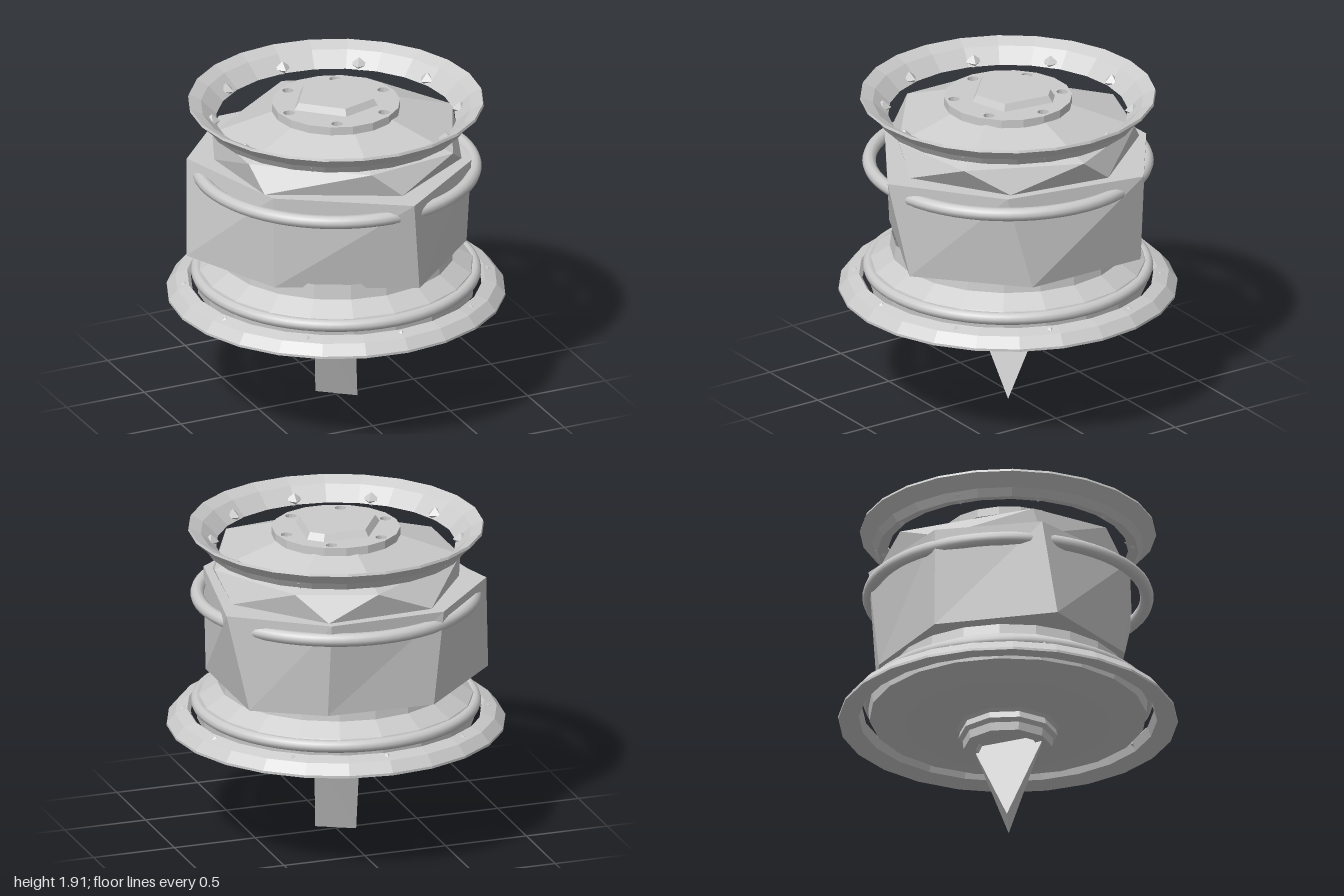
import * as THREE from 'three';
import { ConvexGeometry } from 'three/addons/geometries/ConvexGeometry.js';

export function createModel() {
  const model = new THREE.Group();
  const flat = new THREE.MeshStandardMaterial({ color: 0xcccccc, flatShading: true, side: THREE.DoubleSide });
  const smooth = new THREE.MeshStandardMaterial({ color: 0xcccccc });

  function add(name, geometry, material = flat, y = 0) {
    const mesh = new THREE.Mesh(geometry, material);
    mesh.name = name;
    mesh.position.y = y;
    model.add(mesh);
    return mesh;
  }

  // Skin through levels of equal corner count; corners are [x, z], ends closed by fans
  function loft(levels) {
    const n = levels[0].pts.length, pos = [], idx = [];
    for (const { y, pts } of levels) for (const [x, z] of pts) pos.push(x, y, z);
    for (let l = 0; l < levels.length - 1; l++)
      for (let i = 0; i < n; i++) {
        const a = l * n + i, b = l * n + (i + 1) % n;
        idx.push(a, b, b + n, a, b + n, a + n);
      }
    const top = (levels.length - 1) * n;
    for (let i = 1; i < n - 1; i++) idx.push(0, i + 1, i, top, top + i, top + i + 1);
    const g = new THREE.BufferGeometry();
    g.setAttribute('position', new THREE.Float32BufferAttribute(pos, 3));
    g.setIndex(idx);
    const out = g.toNonIndexed();
    out.computeVertexNormals();
    return out;
  }

  const lathe = (profile, sides) =>
    new THREE.LatheGeometry(profile.map(([r, y]) => new THREE.Vector2(r, y)), sides);
  const scaled = (pts, s) => pts.map(([x, z]) => [x * s, z * s]);

  // Faceted drum with slightly skewed walls
  const drumTop = [[0.08, 0.9], [0.66, 0.45], [0.82, -0.4], [0.3, -0.77], [-0.4, -0.75], [-0.83, -0.28], [-0.62, 0.45]];
  const drumBase = [[0.16, 0.8], [0.7, 0.3], [0.7, -0.46], [0.3, -0.7], [-0.35, -0.72], [-0.87, -0.2], [-0.6, 0.43]];
  add('drum', loft([{ y: 0.97, pts: drumBase }, { y: 1.55, pts: drumTop }]));

  // Shoulder and sloping roof above the drum
  const neck = [[0.08, 0.74], [0.62, 0.4], [0.72, -0.22], [0.3, -0.72], [-0.35, -0.68], [-0.69, -0.2], [-0.64, 0.38]];
  const shoulder = [[-0.1, 0.7], [0.46, 0.62], [0.76, -0.02], [0.46, -0.58], [0, -0.74], [-0.68, -0.25], [-0.68, 0.25]];
  add('shoulder', loft([
    { y: 1.55, pts: neck },
    { y: 1.7, pts: shoulder },
    { y: 1.83, pts: scaled(shoulder, 0.48) },
  ]));

  // Hub flange with six bolt holes
  const disc = new THREE.Shape();
  for (let i = 0; i < 18; i++) {
    const a = i / 18 * Math.PI * 2, p = [0.375 * Math.cos(a), 0.375 * Math.sin(a)];
    i ? disc.lineTo(...p) : disc.moveTo(...p);
  }
  disc.closePath();
  for (let i = 0; i < 6; i++) {
    const a = i * Math.PI / 3 + 0.1;
    const hole = new THREE.Path();
    hole.absarc(0.32 * Math.cos(a), 0.32 * Math.sin(a), 0.033, 0, Math.PI * 2, true);
    disc.holes.push(hole);
  }
  const flange = new THREE.ExtrudeGeometry(disc, { depth: 0.05, bevelEnabled: false, curveSegments: 6 });
  flange.rotateX(-Math.PI / 2);
  add('hubFlange', flange, flat, 1.82);

  // Irregular raised cap on the hub
  const cap = [[-0.04, 0.23], [0.2, 0.16], [0.24, -0.16], [0.16, -0.23], [-0.12, -0.24], [-0.28, 0.01]];
  add('hubCap', loft([{ y: 1.86, pts: cap }, { y: 1.91, pts: scaled(cap, 0.88) }]));

  // Rounded bands around the body
  for (const [name, y, tube] of [['upperBand', 1.46, 0.04], ['lowerBand', 0.8, 0.037]]) {
    const band = new THREE.TorusGeometry(0.81, tube, 10, 64);
    band.rotateX(Math.PI / 2);
    add(name, band, smooth, y);
  }

  // Flared skirt and shallow conical underside
  add('skirt', lathe([[0, 0.6], [0.3, 0.615], [0.6, 0.64], [0.81, 0.69], [0.82, 0.8], [0.8, 0.84], [0.69, 0.91], [0.68, 1.0]], 20));

  // Flared hoops: the upper opens upward, the lower opens downward
  const hoop = [[0.7, 1.765], [0.76, 1.755], [0.79, 1.8], [0.865, 1.87], [0.86, 1.885], [0.79, 1.85], [0.7, 1.765]];
  add('upperHoop', lathe(hoop, 24));
  const lowerHoop = [[0.87, 0.68], [0.99, 0.665], [0.99, 0.68], [0.94, 0.74], [0.87, 0.765], [0.85, 0.74], [0.87, 0.68]];
  add('lowerHoop', lathe(lowerHoop, 24));

  // Ten small faceted clips on each hoop
  const clip = new THREE.OctahedronGeometry(0.055);
  for (const [name, radius, y] of [['upperClip', 0.73, 1.785], ['lowerClip', 0.89, 0.725]])
    for (let i = 0; i < 10; i++) {
      const a = i * Math.PI / 5;
      const mesh = add(name, clip, flat, y);
      mesh.position.x = radius * Math.sin(a);
      mesh.position.z = radius * Math.cos(a);
      mesh.rotation.y = a;
      mesh.scale.set(1, 0.8, 0.9);
    }

  // Stepped collar with a recessed bottom
  add('collar', lathe([[0, 0.53], [0.17, 0.53], [0.19, 0.485], [0.26, 0.49], [0.265, 0.54], [0.29, 0.56], [0.28, 0.6], [0.34, 0.64]], 10));

  // Twisted spike: the top and bottom edges cross each other
  const corners = [[-0.2, 0.53, 0.13], [0.18, 0.53, -0.13], [0.105, 0, 0.07], [-0.1, 0.01, -0.07]];
  add('spike', new ConvexGeometry(corners.map(p => new THREE.Vector3(...p))));

  return model;
}
